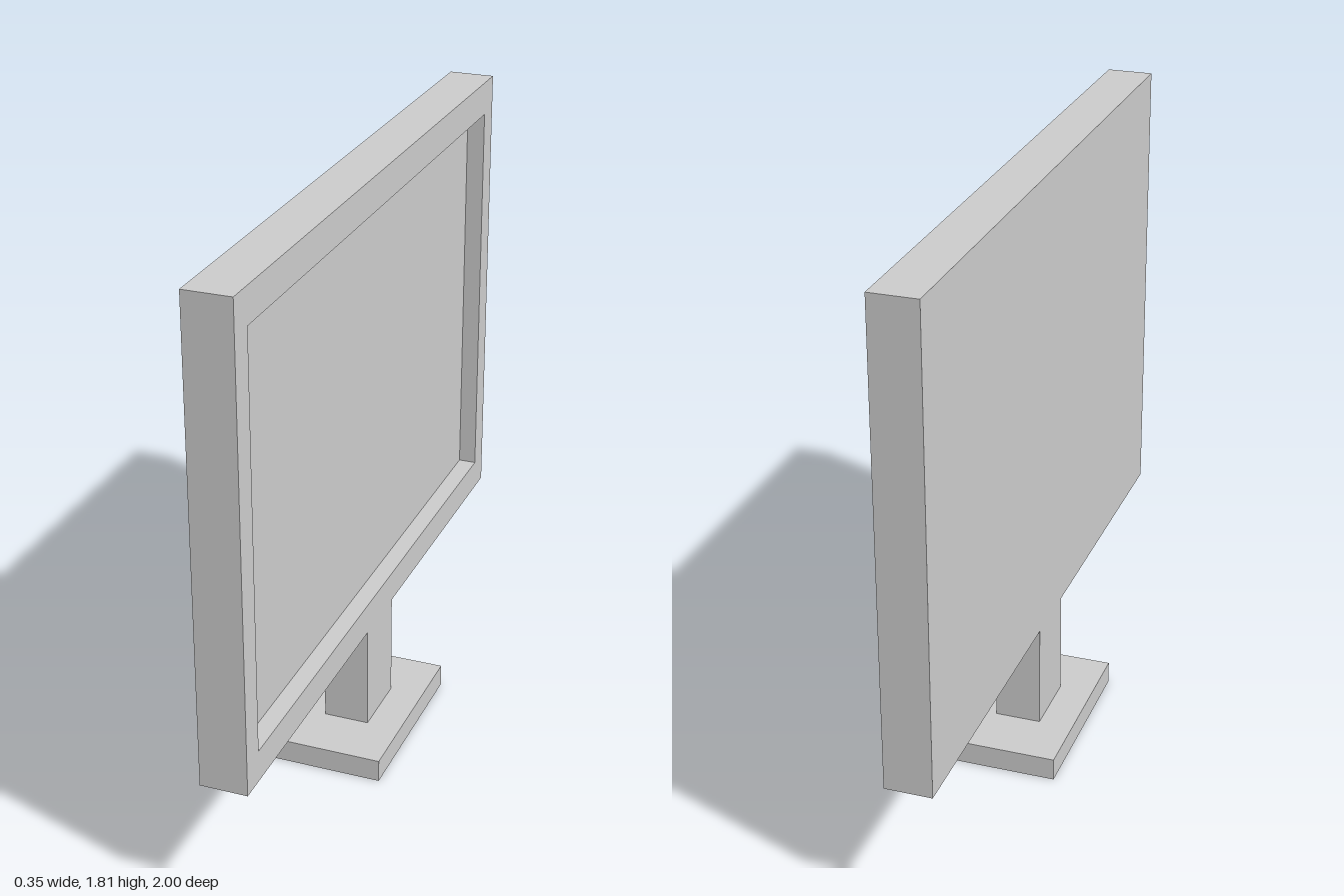
import * as THREE from 'three';

const material = new THREE.MeshStandardMaterial({ color: 0xcccccc, flatShading: true });

// Screen faces +x; the wide direction runs along z.
const HALF_DEPTH = 0.07, HALF_WIDTH = 1, BOTTOM = 0.394, TOP = 1.813;
const OPEN_HALF_WIDTH = 0.923, OPEN_BOTTOM = 0.488, OPEN_TOP = 1.71;
const RECESS = 0.055;
const BASE_TOP = 0.07;

// Box given by its x range, y range and half width along z
function block(name, x0, x1, y0, y1, halfZ) {
  const mesh = new THREE.Mesh(new THREE.BoxGeometry(x1 - x0, y1 - y0, 2 * halfZ), material);
  mesh.position.set((x0 + x1) / 2, (y0 + y1) / 2, 0);
  mesh.name = name;
  return mesh;
}

function rectangle(path, halfW, y0, y1) {
  path.moveTo(-halfW, y0);
  path.lineTo(halfW, y0);
  path.lineTo(halfW, y1);
  path.lineTo(-halfW, y1);
  path.closePath();
  return path;
}

export function createModel() {
  const model = new THREE.Group();
  model.name = 'monitor';

  // Base plate and neck
  model.add(block('base', -0.175, 0.175, 0, BASE_TOP, 0.287));
  model.add(block('neck', -HALF_DEPTH, HALF_DEPTH, BASE_TOP, BOTTOM, 0.105));

  // Housing, whose front face is the sunken screen
  const screenX = HALF_DEPTH - RECESS;
  model.add(block('screenHousing', -HALF_DEPTH, screenX, BOTTOM, TOP, HALF_WIDTH));

  // Raised bezel around the screen
  const outline = rectangle(new THREE.Shape(), HALF_WIDTH, BOTTOM, TOP);
  outline.holes.push(rectangle(new THREE.Path(), OPEN_HALF_WIDTH, OPEN_BOTTOM, OPEN_TOP));
  const bezelGeometry = new THREE.ExtrudeGeometry(outline, { depth: RECESS, bevelEnabled: false });
  bezelGeometry.rotateY(Math.PI / 2);
  const bezel = new THREE.Mesh(bezelGeometry, material);
  bezel.position.x = screenX;
  bezel.name = 'bezel';
  model.add(bezel);

  return model;
}
